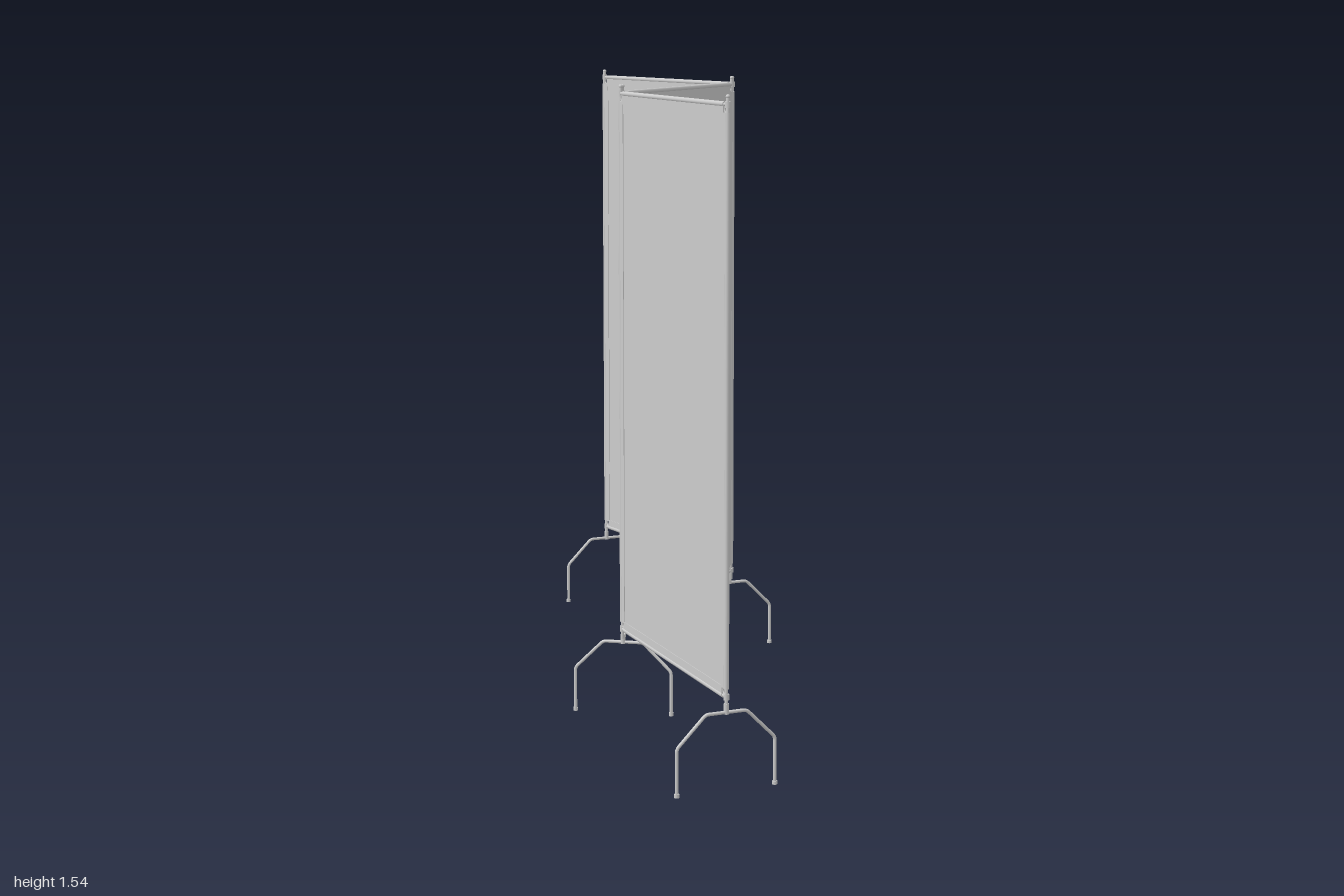
import * as THREE from 'three';

const material = new THREE.MeshStandardMaterial({ color: 0xcccccc });
const BOTTOM = 0.215, TOP = 1.52; // heights of the horizontal rails

function add(parent, name, geometry, x = 0, y = 0, z = 0) {
  const mesh = new THREE.Mesh(geometry, material);
  mesh.name = name;
  mesh.position.set(x, y, z);
  parent.add(mesh);
  return mesh;
}

// Vertical round bar between two heights
function bar(parent, name, r, y0, y1, x = 0, z = 0) {
  return add(parent, name, new THREE.CylinderGeometry(r, r, y1 - y0, 12), x, (y0 + y1) / 2, z);
}

// Rectangle with its four corners notched out
function notchedShape(x0, x1, y0, y1, n) {
  const points = [
    [x0 + n, y0], [x1 - n, y0], [x1 - n, y0 + n], [x1, y0 + n], [x1, y1 - n], [x1 - n, y1 - n],
    [x1 - n, y1], [x0 + n, y1], [x0 + n, y1 - n], [x0, y1 - n], [x0, y0 + n], [x0 + n, y0 + n],
  ];
  return new THREE.Shape(points.map(([x, y]) => new THREE.Vector2(x, y)));
}

// One fabric screen, running along local x between two [x, z] points
function makePanel([ax, az], [bx, bz]) {
  const panel = new THREE.Group();
  panel.name = 'screenPanel';
  panel.position.set((ax + bx) / 2, 0, (az + bz) / 2);
  panel.rotation.y = -Math.atan2(bz - az, bx - ax);
  const half = Math.hypot(bx - ax, bz - az) / 2;
  const midY = (TOP + BOTTOM) / 2;

  // Thin cloth and the thicker hem around it
  const inX = half - 0.025, inTop = TOP - 0.025, inBottom = BOTTOM + 0.022;
  add(panel, 'fabric', new THREE.BoxGeometry(2 * inX + 0.004, inTop - inBottom + 0.004, 0.005), 0, (inTop + inBottom) / 2);
  const hem = notchedShape(-half, half, BOTTOM, TOP, 0.018);
  const hole = new THREE.Path();
  hole.moveTo(-inX, inBottom).lineTo(-inX, inTop).lineTo(inX, inTop).lineTo(inX, inBottom).closePath();
  hem.holes.push(hole);
  add(panel, 'hem', new THREE.ExtrudeGeometry(hem, { depth: 0.008, bevelEnabled: false }), 0, 0, -0.004);

  // Rails and the sleeves rolled around them
  for (const y of [BOTTOM, TOP]) {
    add(panel, 'rail', new THREE.CylinderGeometry(0.004, 0.004, 2 * half, 12), 0, y).rotation.z = Math.PI / 2;
    add(panel, 'railSleeve', new THREE.CylinderGeometry(0.006, 0.006, 2 * half - 0.036, 12), 0, y).rotation.z = Math.PI / 2;
  }

  for (const side of [-1, 1]) {
    const x = side * half;
    bar(panel, 'post', 0.004, 0.19, 1.535, x);
    add(panel, 'postCap', new THREE.SphereGeometry(0.005, 12, 8), x, 1.537);
    add(panel, 'postSleeve', new THREE.CylinderGeometry(0.006, 0.006, TOP - BOTTOM - 0.036, 12), x, midY);
    // Collars and ring clips joining the rails to the post
    for (const [y, dir] of [[BOTTOM, 1], [TOP, -1]]) {
      bar(panel, 'collar', 0.0065, y - 0.007, y + 0.007, x);
      add(panel, 'cornerRing', new THREE.TorusGeometry(0.007, 0.0018, 6, 16), x - side * 0.011, y + dir * 0.011);
    }
  }
  return panel;
}

// Arched two-legged foot, turned so that its legs spread along the angle
function makeFoot([x, z], angle) {
  const foot = new THREE.Group();
  foot.name = 'foot';
  foot.position.set(x, 0, z);
  foot.rotation.y = angle;
  const outline = [[-0.121, 0], [-0.121, 0.11], [-0.05, 0.18], [0.05, 0.18], [0.121, 0.11], [0.121, 0]]
    .map(([px, py]) => new THREE.Vector3(px, py, 0));
  const path = new THREE.CurvePath();
  // Straight runs joined by small rounded bends
  let from = outline[0];
  for (let i = 1; i < outline.length - 1; i++) {
    const p = outline[i];
    const before = p.clone().add(outline[i - 1].clone().sub(p).setLength(0.008));
    const after = p.clone().add(outline[i + 1].clone().sub(p).setLength(0.008));
    path.add(new THREE.LineCurve3(from, before));
    path.add(new THREE.QuadraticBezierCurve3(before, p, after));
    from = after;
  }
  path.add(new THREE.LineCurve3(from, outline[outline.length - 1]));
  add(foot, 'legTube', new THREE.TubeGeometry(path, 120, 0.004, 10));
  for (const side of [-1, 1]) bar(foot, 'footCap', 0.006, 0, 0.008, side * 0.121);
  bar(foot, 'footSocket', 0.006, 0.176, 0.2);
  return foot;
}

export function createModel() {
  const model = new THREE.Group();
  model.name = 'foldingScreen';

  // Panel ends in plan, front to back
  const panels = [
    [[-0.005, 0.953], [-0.177, 0.297]],
    [[-0.171, 0.280], [0.170, -0.315]],
    [[0.174, -0.330], [-0.111, -0.955]],
  ];
  for (const [a, b] of panels) model.add(makePanel(a, b));

  // Hinge links where neighbouring panels meet
  for (let i = 0; i < 2; i++) {
    const [ax, az] = panels[i][1], [bx, bz] = panels[i + 1][0];
    for (const y of [0.197, 1.531]) {
      const link = add(model, 'hingeLink', new THREE.BoxGeometry(Math.hypot(bx - ax, bz - az), 0.006, 0.006),
        (ax + bx) / 2, y, (az + bz) / 2);
      link.rotation.y = -Math.atan2(bz - az, bx - ax);
    }
  }

  // Feet under the ends and the joints
  const tilt = 0.32;
  model.add(makeFoot([-0.005, 0.953], tilt));
  model.add(makeFoot([-0.175, 0.292], -tilt));
  model.add(makeFoot([0.170, -0.332], tilt * 0.95));
  model.add(makeFoot([-0.111, -0.955], tilt));
  return model;
}
